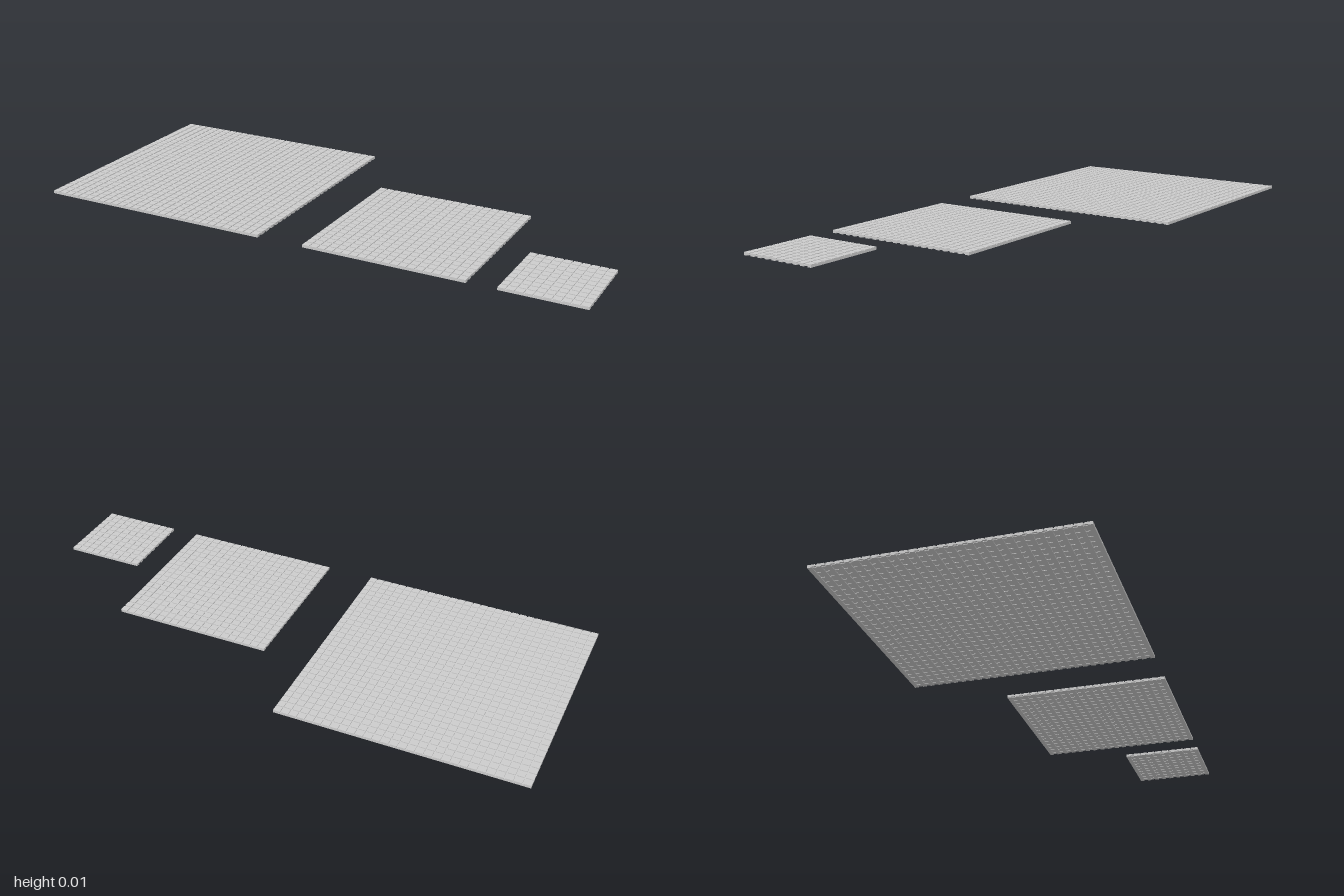
import * as THREE from 'three';
import { mergeGeometries } from 'three/addons/utils/BufferGeometryUtils.js';

const PITCH = 0.02877; // one cell of the mat
const TILE = 0.0245;   // cell size without its gap
const HEIGHT = 0.01;
const FRONT = 0.4315;  // all mats share this front edge

function box(w, h, d, x, y, z) {
  return new THREE.BoxGeometry(w, h, d).translate(x, y + h / 2, z);
}

// Square mat of count x count cells, centred on its own origin
function createMat(count, name) {
  const material = new THREE.MeshStandardMaterial({ color: 0xcccccc });
  const size = count * PITCH;
  const step = (size - TILE) / (count - 1);
  const at = (i) => -size / 2 + TILE / 2 + i * step;
  const tiles = [], ribs = [], crossRibs = [];

  for (let i = 0; i < count; i++) {
    // long ribs underneath, running left to right
    ribs.push(box(size, 0.003, TILE * 0.6, 0, 0, at(i) * (size - TILE * 0.6) / (size - TILE)));
    // shallower ribs across them
    crossRibs.push(box(TILE * 0.5, 0.002, size, at(i), 0.001, 0));
    // raised tiles on top
    for (let j = 0; j < count; j++) {
      tiles.push(box(TILE, 0.003, TILE, at(i), HEIGHT - 0.003, at(j)));
    }
  }

  const mat = new THREE.Group();
  mat.name = name;
  const add = (partName, geometry) => {
    const mesh = new THREE.Mesh(geometry, material);
    mesh.name = partName;
    mat.add(mesh);
  };
  add('core', box(size, 0.004, size, 0, 0.003, 0));
  add('topTiles', mergeGeometries(tiles));
  add('bottomRibs', mergeGeometries(ribs));
  add('crossRibs', mergeGeometries(crossRibs));
  return mat;
}

export function createModel() {
  const model = new THREE.Group();
  model.name = 'tiledMats';
  // cell count, left edge, name
  const mats = [
    [30, -1, 'largeMat'],
    [20, 0.034, 'mediumMat'],
    [10, 1 - 10 * PITCH, 'smallMat'],
  ];
  for (const [count, left, name] of mats) {
    const half = (count * PITCH) / 2;
    const mat = createMat(count, name);
    mat.position.set(left + half, 0, FRONT - half);
    model.add(mat);
  }
  return model;
}
